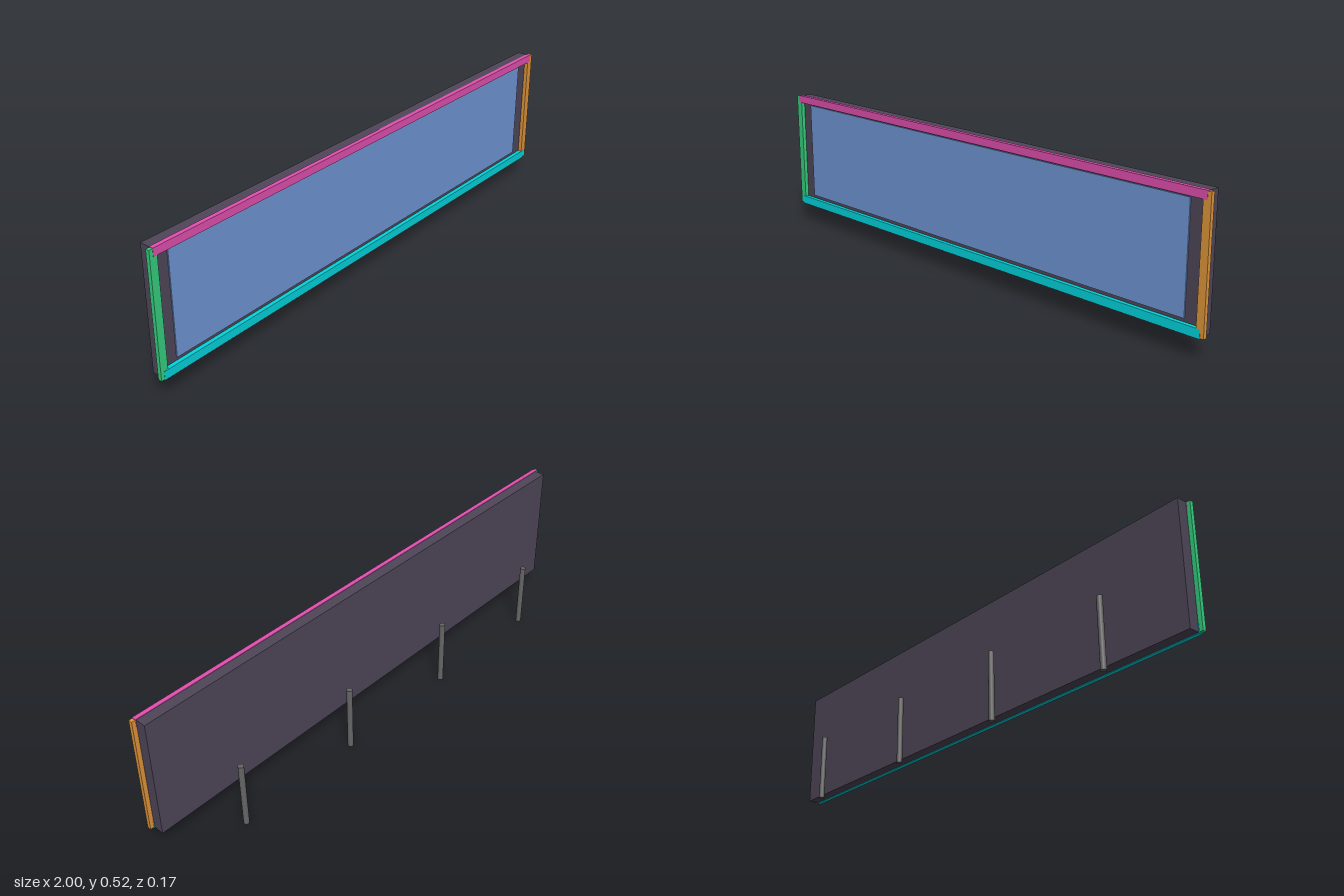
import * as THREE from 'three';

// Box given by its minimum and maximum corners
function box(name, color, [x0, y0, z0], [x1, y1, z1]) {
  const mesh = new THREE.Mesh(
    new THREE.BoxGeometry(x1 - x0, y1 - y0, z1 - z0),
    new THREE.MeshStandardMaterial({ color })
  );
  mesh.name = name;
  mesh.position.set((x0 + x1) / 2, (y0 + y1) / 2, (z0 + z1) / 2);
  return mesh;
}

export function createModel() {
  const model = new THREE.Group();
  model.name = 'signBoard';

  // Backing board and raised face panel
  model.add(box('backingBoard', 0x4f4658, [-0.985, 0.075, 0.03], [0.985, 0.518, 0.069]));
  model.add(box('facePanel', 0x7096d6, [-0.925, 0.116, 0.069], [0.921, 0.485, 0.073]));

  // Frame: side bars, then rails lapping slightly over them
  const frame = new THREE.Group();
  frame.name = 'frame';
  frame.add(box('rightBar', 0x35d07f, [-1, 0.076, 0.069], [-0.972, 0.518, 0.083]));
  frame.add(box('leftBar', 0xe0953a, [0.972, 0.076, 0.069], [1, 0.518, 0.083]));
  frame.add(box('topRail', 0xe24fb0, [-0.987, 0.492, 0.068], [0.987, 0.52, 0.0838]));
  frame.add(box('bottomRail', 0x00d5dd, [-0.987, 0.073, 0.068], [0.987, 0.104, 0.0838]));
  model.add(frame);

  // Free-standing round posts behind the board
  const postGeometry = new THREE.CylinderGeometry(0.01, 0.01, 0.248, 16);
  const postMaterial = new THREE.MeshStandardMaterial({ color: 0x666666 });
  const posts = new THREE.Group();
  posts.name = 'posts';
  for (let i = 0; i < 4; i++) {
    const post = new THREE.Mesh(postGeometry, postMaterial);
    post.name = 'post';
    post.position.set(-0.741 + i * 0.492, 0.124, -0.073);
    posts.add(post);
  }
  model.add(posts);

  return model;
}
